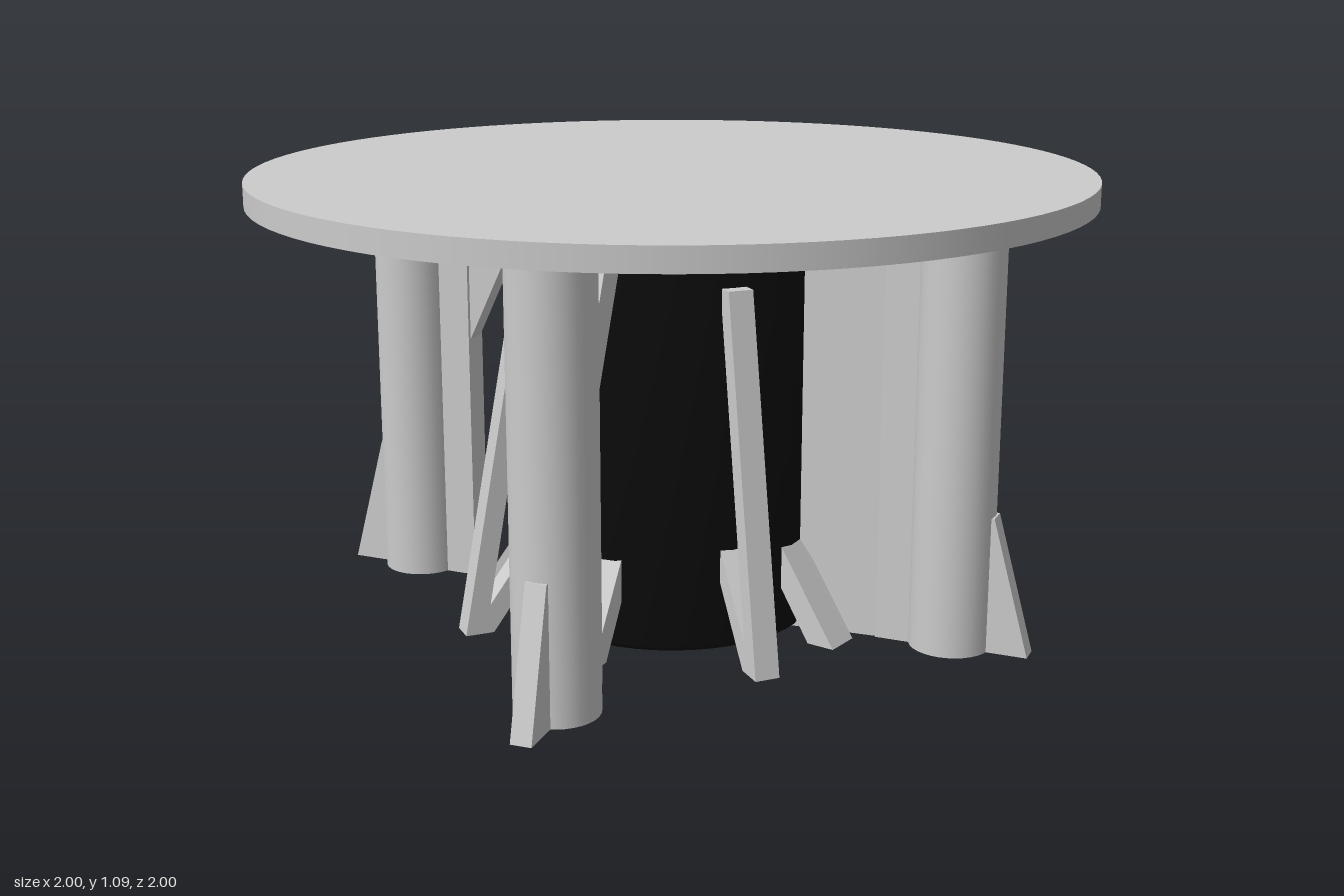
import * as THREE from 'three';

const grey = new THREE.MeshStandardMaterial({ color: 0xcccccc, side: THREE.DoubleSide });
const black = new THREE.MeshStandardMaterial({ color: 0x0a0a0a });
const TOP = 1.035; // underside of the tabletop
const DRUM_R = 0.356;
const POST_R = 0.718; // distance of the posts from the axis

// Names a mesh and adds it to its parent
function add(parent, name, geometry, material = grey) {
  const mesh = new THREE.Mesh(geometry, material);
  mesh.name = name;
  parent.add(mesh);
  return mesh;
}

// Flat plate: outline in (radius, height), centred thickness across
function plate(points, width) {
  const shape = new THREE.Shape(points.map(([r, y]) => new THREE.Vector2(r, y)));
  const g = new THREE.ExtrudeGeometry(shape, { depth: width, bevelEnabled: false });
  g.translate(0, 0, -width / 2);
  g.rotateY(-Math.PI / 2);
  return g;
}

// Group whose local +z points outward at the given angle from the front
function spoke(parent, name, angle) {
  const g = new THREE.Group();
  g.name = name;
  g.rotation.y = angle;
  parent.add(g);
  return g;
}

// Web between drum and post, thick at the drum and thinning outward
function webGeometry() {
  const shape = new THREE.Shape();
  shape.moveTo(-0.045, -0.33);
  shape.lineTo(0.045, -0.33);
  shape.quadraticCurveTo(0.03, -0.5, 0.025, -0.63);
  shape.lineTo(-0.025, -0.63);
  shape.quadraticCurveTo(-0.03, -0.5, -0.045, -0.33);
  const g = new THREE.ExtrudeGeometry(shape, { depth: TOP - 0.01, bevelEnabled: false, curveSegments: 8 });
  g.rotateX(-Math.PI / 2);
  return g;
}

export function createModel() {
  const model = new THREE.Group();
  model.name = 'roundTable';

  // Tabletop
  add(model, 'tabletop', new THREE.CylinderGeometry(1, 1, 0.055, 96)).position.y = TOP + 0.0275;

  // Central drum with a recessed base
  const drum = [[0, 0.03], [0.3, 0.03], [0.31, 0.005], [0.345, 0.005], [DRUM_R, 0.02], [DRUM_R, TOP], [0, TOP]];
  add(model, 'drum', new THREE.LatheGeometry(drum.map(([x, y]) => new THREE.Vector2(x, y)), 48), black);

  // Four corner posts with ribs, fins, braces and head plates
  const corner = Math.atan2(0.495, 0.52);
  for (const sx of [1, -1]) {
    for (const back of [false, true]) {
      const g = spoke(model, 'cornerPost', sx * (back ? Math.PI - corner : corner));
      add(g, 'post', new THREE.CylinderGeometry(0.098, 0.098, TOP, 32)).position.set(0, TOP / 2, POST_R);
      add(g, 'innerRib', new THREE.BoxGeometry(0.07, TOP, 0.12)).position.set(0, TOP / 2, 0.605);
      add(g, 'footFin', plate([[0.77, 0], [0.91, 0], [0.82, 0.33], [0.77, 0.33]], 0.05));
      add(g, 'upperBrace', plate([[0.35, TOP], [0.44, TOP], [0.6, 0.7], [0.57, 0.62], [0.55, 0.62]], 0.05));
      add(g, 'headPlate', new THREE.BoxGeometry(0.26, 0.012, 0.28)).position.set(0, TOP - 0.006, 0.73);
      add(g, 'headArm', new THREE.BoxGeometry(0.08, 0.012, 0.3)).position.set(0, TOP - 0.006, 0.46);
      if (sx > 0) add(g, 'web', webGeometry());
    }
  }

  // Four V-shaped struts leaning on the drum
  for (let i = 0; i < 4; i++) {
    const g = spoke(model, 'strut', i * Math.PI / 2);
    const h = i === 1 ? 0.76 : 0.87;
    add(g, 'longArm', plate([[0.5, 0], [0.55, 0], [0.39, h], [0.345, h]], 0.06));
    add(g, 'shortArm', plate([[0.48, 0], [0.54, 0], [0.34, 0.27], [0.34, 0.19]], 0.06));
  }

  // Short props at the foot of the drum
  for (const a of [0.54, -0.87, 3.0, -2.13]) {
    const g = spoke(model, 'footProp', a);
    add(g, 'prop', plate([[0.43, 0], [0.5, 0], [0.35, 0.23], [0.33, 0.16]], 0.09));
  }

  // Small pointed gussets under the tabletop
  for (const a of [0.26, 1.69, 3.2, -1.4]) {
    const g = spoke(model, 'gusset', a);
    const cone = new THREE.ConeGeometry(0.09, 0.13, 4).toNonIndexed();
    cone.computeVertexNormals();
    cone.rotateX(Math.PI);
    add(g, 'gussetPoint', cone).position.set(0, TOP - 0.065, 0.37);
  }
  return model;
}
